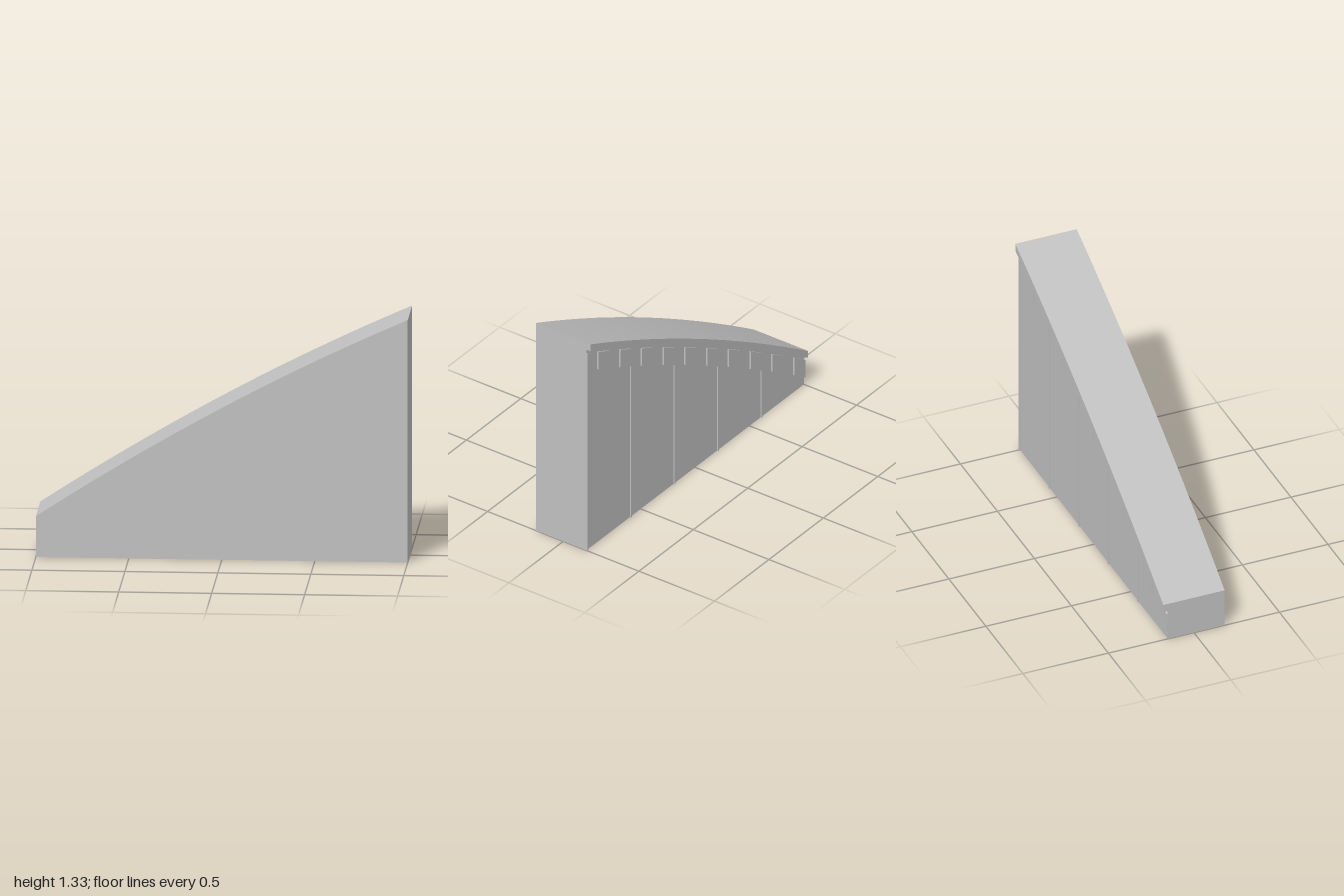
import * as THREE from 'three';

// height of the curved top edge at x
const topAt = x => 0.835 + 0.554 * x - 0.056 * x * x;

// slab whose top follows the curve, lowered by drop; its bottom follows
// the curve lowered by base, or is flat on the ground when base is null
function curvedSlab(x0, x1, drop, base, z0, z1, steps) {
  const points = [];
  for (let i = 0; i <= steps; i++) {
    const x = x1 + (x0 - x1) * i / steps;
    points.push(new THREE.Vector2(x, topAt(x) - drop));
  }
  if (base === null) {
    points.push(new THREE.Vector2(x0, 0), new THREE.Vector2(x1, 0));
  } else {
    for (let i = 0; i <= steps; i++) {
      const x = x0 + (x1 - x0) * i / steps;
      points.push(new THREE.Vector2(x, topAt(x) - base));
    }
  }
  const geometry = new THREE.ExtrudeGeometry(new THREE.Shape(points), {
    depth: z1 - z0, bevelEnabled: false,
  });
  return geometry.translate(0, 0, z0);
}

export function createModel() {
  const model = new THREE.Group();
  model.name = 'curvedWall';
  const stone = new THREE.MeshStandardMaterial({ color: 0xc0c0c0 });
  stone.name = 'light grey stone';

  const add = (name, geometry) => {
    const mesh = new THREE.Mesh(geometry, stone);
    mesh.name = name;
    model.add(mesh);
  };

  // solid wall and the ledge along the top of its back
  add('wall', curvedSlab(-1, 1, 0, null, -0.152, 0.18, 24));
  add('ledge', curvedSlab(-1, 1, 0, 0.044, -0.179, -0.152, 24));

  // thin upright ribs dividing the back into five bays
  for (let i = 0; i < 5; i++) {
    const x = 1 - i * 0.4;
    add('rib', curvedSlab(x - 0.01, x, 0.066, null, -0.159, -0.152, 1));
  }

  // row of slanted blocks under the ledge
  for (let i = 0; i < 10; i++) {
    const x = 0.9 - i * 0.2;
    add('block', curvedSlab(x - 0.1, x, 0.064, 0.177, -0.161, -0.152, 1));
  }
  return model;
}
